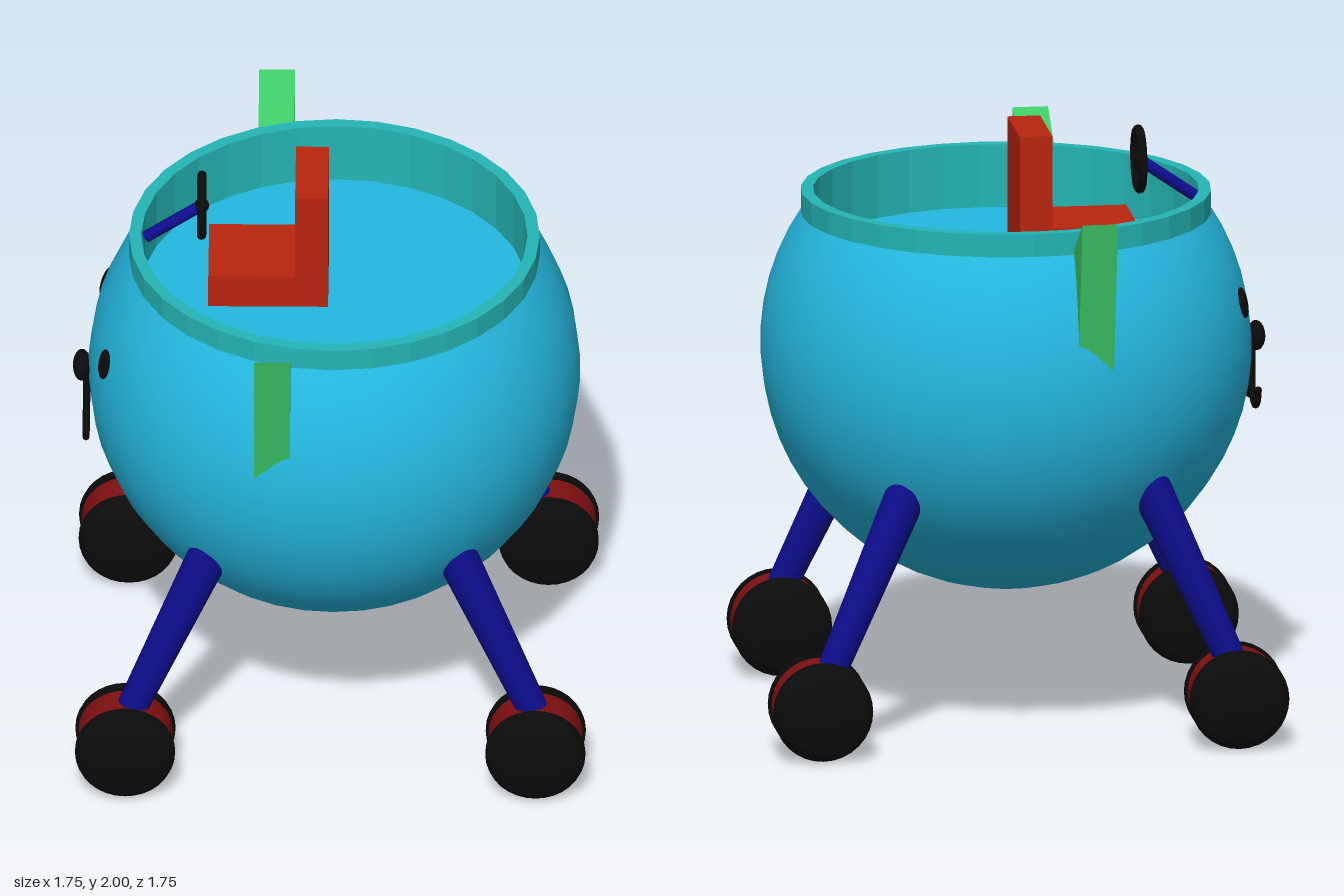
import * as THREE from 'three';
import { toCreasedNormals } from 'three/addons/utils/BufferGeometryUtils.js';

const mat = (name, color) => {
  const m = new THREE.MeshStandardMaterial({ color });
  m.name = name;
  return m;
};
const V = (x, y, z) => new THREE.Vector3(x, y, z);
const P = (list) => list.map(([a, b]) => new THREE.Vector2(a, b));

export function createModel() {
  const blue = mat('bodyBlue', 0x25b8e0);
  const teal = mat('rimTeal', 0x25b5b5);
  const green = mat('earGreen', 0x3ec868);
  const red = mat('seatRed', 0xb82510);
  const darkRed = mat('hubRed', 0x801010);
  const navy = mat('legNavy', 0x0d0d8c);
  const black = mat('black', 0x0b0b0b);

  const model = new THREE.Group();
  model.name = 'sphericalCar';
  const add = (name, geometry, material, parent = model) => {
    const mesh = new THREE.Mesh(geometry, material);
    mesh.name = name;
    parent.add(mesh);
    return mesh;
  };
  // Tapered rod between two points
  const rod = (name, a, b, ra, rb, material, parent = model) => {
    const dir = b.clone().sub(a);
    const mesh = add(name, new THREE.CylinderGeometry(rb, ra, dir.length(), 24), material, parent);
    mesh.position.copy(a).add(b).multiplyScalar(0.5);
    mesh.quaternion.setFromUnitVectors(V(0, 1, 0), dir.normalize());
    return mesh;
  };

  // Open spherical body
  const R = 0.822, CY = 1.25, start = Math.acos(0.46 / R);
  add('body', new THREE.SphereGeometry(R, 32, 20, 0, Math.PI * 2, start, Math.PI - start), blue)
    .position.y = CY;

  // Rim with inner wall, and cockpit floor
  const rim = P([[0.686, 1.69], [0.686, 1.78], [0.645, 1.78], [0.645, 1.56]]);
  add('rim', toCreasedNormals(new THREE.LatheGeometry(rim, 32), 0.15), teal);
  const floor = add('floor', new THREE.CircleGeometry(0.646, 32), blue);
  floor.rotation.x = -Math.PI / 2;
  floor.position.y = 1.565;

  // L-shaped seat
  const seatShape = new THREE.Shape(P([
    [-0.42, 1.55], [-0.02, 1.55], [-0.02, 2], [-0.13, 2], [-0.13, 1.685], [-0.42, 1.685]]));
  add('seat', new THREE.ExtrudeGeometry(seatShape, { depth: 0.31, bevelEnabled: false }), red)
    .position.z = -0.2;

  // Steering wheel and column
  const steering = new THREE.Group();
  steering.name = 'steeringWheel';
  steering.position.set(-0.443, 1.874, -0.035);
  steering.rotation.y = Math.PI / 2;
  model.add(steering);
  add('steeringRing', new THREE.TorusGeometry(0.1, 0.016, 10, 32), black, steering);
  add('steeringHub', new THREE.SphereGeometry(0.025, 16, 10), black, steering);
  for (let i = 0; i < 3; i++) {
    const a = Math.PI / 2 + i * Math.PI * 2 / 3;
    rod('steeringSpoke', V(0, 0, 0), V(Math.cos(a) * 0.1, Math.sin(a) * 0.1, 0), 0.011, 0.011, black, steering);
  }
  rod('steeringColumn', V(-0.63, 1.745, -0.035), V(-0.443, 1.874, -0.035), 0.02, 0.02, navy);

  // Ears: triangular prisms on both sides
  const earShape = new THREE.Shape(P([[0.875, 1.85], [0.655, 1.71], [0.76, 1.26]]));
  for (const s of [1, -1]) {
    const ear = add('ear', new THREE.ExtrudeGeometry(earShape, { depth: 0.12, bevelEnabled: false }), green);
    ear.rotation.y = -s * Math.PI / 2;
    ear.position.x = s > 0 ? -0.14 : -0.26;
  }

  // Legs and wheels
  const tyre = toCreasedNormals(new THREE.LatheGeometry(P([
    [0, 0.06], [0.167, 0.06], [0.167, 0.08], [0.161, 0.1], [0.148, 0.116], [0.13, 0.124], [0, 0.126]]), 32), 0.7);
  const hub = new THREE.CylinderGeometry(0.157, 0.157, 0.122, 32);
  for (const sx of [1, -1]) {
    for (const sz of [1, -1]) {
      rod('leg', V(sx * 0.69, 0.25, sz * 0.635), V(sx * 0.376, 0.95, sz * 0.544), 0.05, 0.072, navy);
      const wheel = new THREE.Group();
      wheel.name = 'wheel';
      wheel.position.set(sx < 0 ? -0.692 : sz > 0 ? 0.678 : 0.71, 0.167, sz * 0.632);
      wheel.rotation.x = Math.PI / 2;
      model.add(wheel);
      add('hub', hub, darkRed, wheel);
      add('tyre', tyre, black, wheel);
      add('tyre', tyre, black, wheel).rotation.x = Math.PI;
    }
  }

  // Face: eyes lying on the body surface, nose and mouth
  for (const s of [1, -1]) {
    const eye = add('eye', new THREE.SphereGeometry(1, 20, 14), black);
    const n = V(-0.765, 0.17, s * 0.245).normalize();
    eye.position.copy(n).multiplyScalar(R).add(V(0, CY, 0));
    eye.lookAt(eye.position.clone().add(n));
    eye.scale.set(0.04, 0.053, 0.014);
  }
  const nose = add('nose', new THREE.SphereGeometry(1, 20, 14), black);
  nose.position.set(-0.843, 1.25, 0);
  nose.scale.set(0.03, 0.05, 0.06);
  const mx = -0.828;
  rod('mouthStem', V(mx, 1.24, 0), V(mx, 1.08, 0), 0.012, 0.012, black);
  for (const s of [1, -1]) {
    const path = new THREE.CatmullRomCurve3(
      [[0, 1.09], [0.035, 1.045], [0.09, 1.032], [0.14, 1.055], [0.165, 1.1]].map(([z, y]) => V(mx, y, s * z)));
    add('mouthCurve', new THREE.TubeGeometry(path, 20, 0.012, 8), black);
    add('mouthTip', new THREE.SphereGeometry(0.012, 10, 8), black).position.set(mx, 1.1, s * 0.165);
  }
  return model;
}
